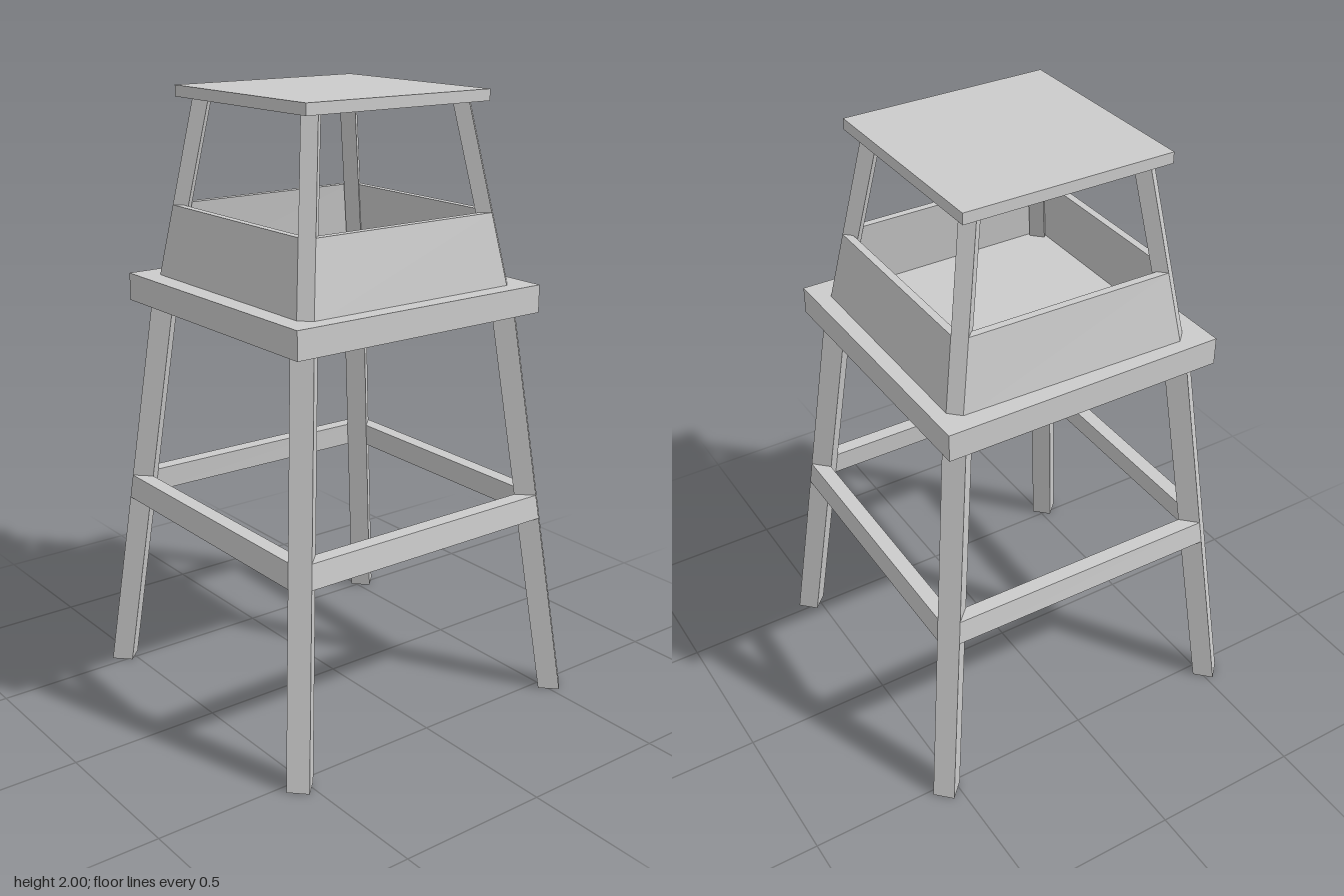
import * as THREE from 'three';

const material = new THREE.MeshStandardMaterial({ color: 0xcccccc, flatShading: true });

// Corner centres [x, z], counter-clockwise from above: front left, front right, back right, back left
const legFoot = [[-0.537, 0.523], [0.53, 0.528], [0.53, -0.525], [-0.517, -0.536]];
const legHead = [[-0.393, 0.392], [0.386, 0.398], [0.386, -0.386], [-0.388, -0.392]];
const postFoot = [[-0.389, 0.376], [0.376, 0.38], [0.374, -0.378], [-0.374, -0.384]];
const postHead = [[-0.29, 0.292], [0.281, 0.292], [0.281, -0.278], [-0.288, -0.28]];
const LEG_Y = [0, 1.31], POST_Y = [1.385, 1.97];
const LEG_R = 0.05, POST_R = 0.036;
const outward = [[0, 1], [1, 0], [0, -1], [-1, 0]];

// Solid between two horizontal four-sided sections
function loft(name, lower, y0, upper, y1) {
  const p = [...lower.map(([x, z]) => [x, y0, z]), ...upper.map(([x, z]) => [x, y1, z])];
  const pos = [];
  const quad = (a, b, c, d) => [a, b, c, a, c, d].forEach((i) => pos.push(...p[i]));
  for (let i = 0; i < 4; i++) {
    const j = (i + 1) % 4;
    quad(i, j, j + 4, i + 4);
  }
  quad(4, 5, 6, 7);
  quad(3, 2, 1, 0);
  const g = new THREE.BufferGeometry();
  g.setAttribute('position', new THREE.Float32BufferAttribute(pos, 3));
  g.computeVertexNormals();
  const mesh = new THREE.Mesh(g, material);
  mesh.name = name;
  return mesh;
}

// Square section turned 45 degrees
const diamond = ([x, z], r) => outward.map(([dx, dz]) => [x + dx * r, z + dz * r]);

// Centre of a leaning post at a given height
function centreAt(foot, head, [y0, y1], y) {
  const t = (y - y0) / (y1 - y0);
  return [foot[0] + (head[0] - foot[0]) * t, foot[1] + (head[1] - foot[1]) * t];
}

// Board joining the outer edges of neighbouring posts, leaning with them
function board(name, side, foot, head, span, r, thickness, y0, y1) {
  const [dx, dz] = outward[side];
  const next = (side + 1) % 4;
  const section = (y) => {
    const a = centreAt(foot[side], head[side], span, y);
    const b = centreAt(foot[next], head[next], span, y);
    const shift = ([x, z], d) => [x + dx * d, z + dz * d];
    return [shift(a, r), shift(b, r), shift(b, r - thickness), shift(a, r - thickness)];
  };
  return loft(name, section(y0), y0, section(y1), y1);
}

function slab(name, w, h, d, x, y, z) {
  const mesh = new THREE.Mesh(new THREE.BoxGeometry(w, h, d), material);
  mesh.name = name;
  mesh.position.set(x, y, z);
  return mesh;
}

export function createModel() {
  const tower = new THREE.Group();
  tower.name = 'watchtower';

  // Legs, roof posts, cross braces and parapet walls
  for (let i = 0; i < 4; i++) {
    tower.add(
      loft('leg', diamond(legFoot[i], LEG_R), LEG_Y[0], diamond(legHead[i], LEG_R), LEG_Y[1]),
      loft('roofPost', diamond(postFoot[i], POST_R), POST_Y[0], diamond(postHead[i], POST_R), POST_Y[1]),
      board('brace', i, legFoot, legHead, LEG_Y, LEG_R, 0.05, 0.62, 0.7),
      board('parapetWall', i, postFoot, postHead, POST_Y, POST_R, 0.025, 1.385, 1.625),
    );
  }

  // Platform and flat roof
  tower.add(
    slab('platform', 0.935, 0.09, 0.943, -0.003, 1.35, 0.006),
    slab('roof', 0.695, 0.036, 0.695, -0.004, 1.982, 0.007),
  );
  return tower;
}
